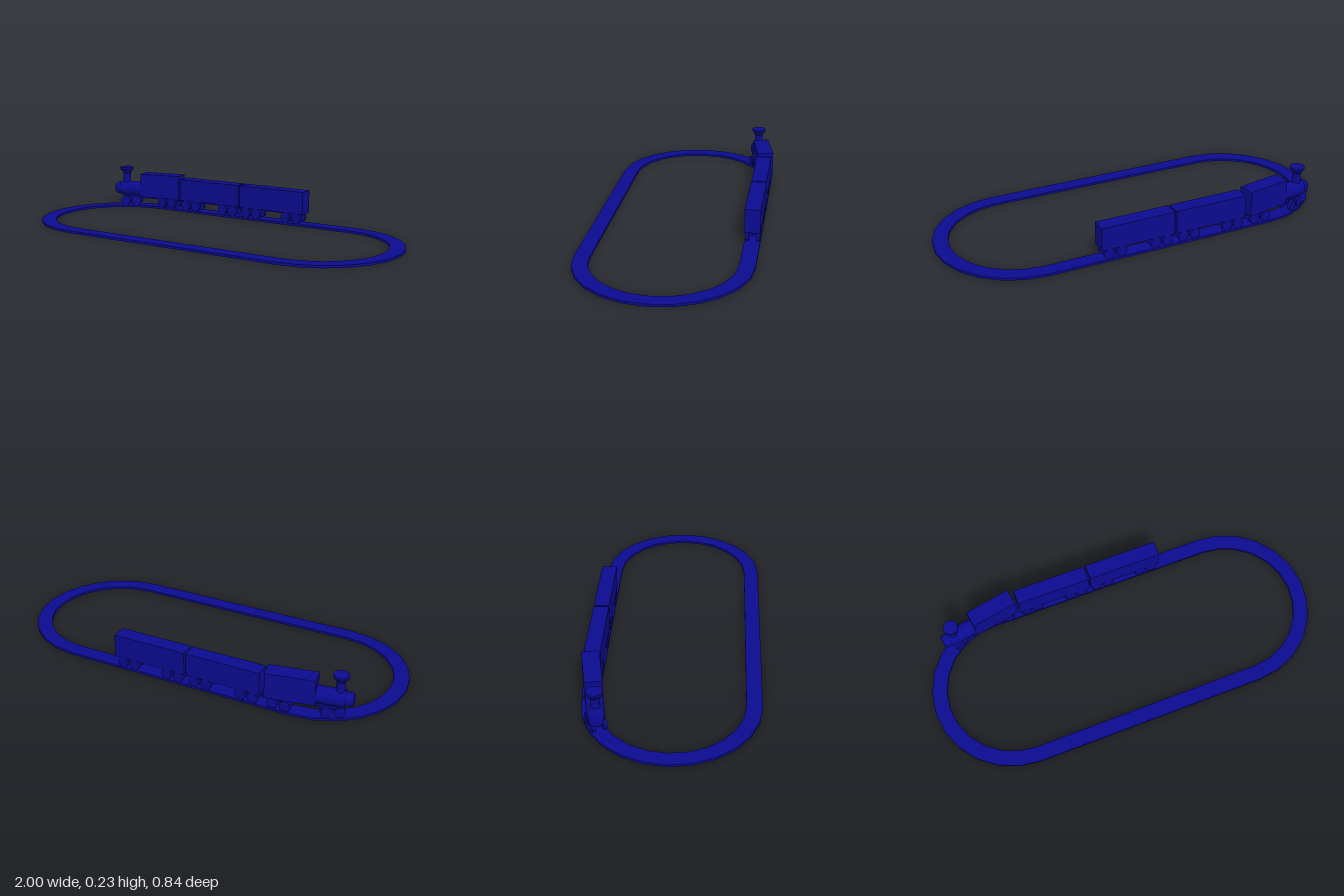
import * as THREE from 'three';

const material = new THREE.MeshStandardMaterial({ color: 0x0b0b90 });

function add(parent, name, geometry, x = 0, y = 0, z = 0) {
  const mesh = new THREE.Mesh(geometry, material);
  mesh.name = name;
  mesh.position.set(x, y, z);
  parent.add(mesh);
  return mesh;
}

const box = (w, h, d) => new THREE.BoxGeometry(w, h, d);

// Stadium outline: two half circles of 12 sides joined by straights
function stadium(radius, target) {
  const points = [];
  for (const side of [1, -1]) {
    for (let i = 0; i <= 12; i++) {
      const a = -Math.PI / 2 + (i / 12) * Math.PI;
      points.push(new THREE.Vector2(side * (0.585 + radius * Math.cos(a)), side * radius * Math.sin(a)));
    }
  }
  return target.setFromPoints(points);
}

// Two axles with four wheels and a centre beam
function addBogie(parent, x, z, angle) {
  const bogie = new THREE.Group();
  bogie.name = 'bogie';
  bogie.position.set(x, 0, z);
  bogie.rotation.y = angle;
  parent.add(bogie);
  add(bogie, 'bogieBeam', box(0.07, 0.016, 0.025), 0, 0.05);
  for (const dx of [-0.031, 0.031]) {
    add(bogie, 'axle', new THREE.CylinderGeometry(0.006, 0.006, 0.06, 8).rotateX(Math.PI / 2), dx, 0.038);
    for (const dz of [-0.027, 0.027]) {
      add(bogie, 'wheel', new THREE.CylinderGeometry(0.027, 0.027, 0.016, 16).rotateX(Math.PI / 2), dx, 0.038, dz);
    }
  }
}

function addWagon(parent, x, z) {
  const wagon = new THREE.Group();
  wagon.name = 'wagon';
  wagon.position.set(x, 0, z);
  parent.add(wagon);
  add(wagon, 'wagonBody', box(0.376, 0.117, 0.076), 0, 0.1225);
  add(wagon, 'wagonFrame', box(0.36, 0.01, 0.03), 0, 0.06);
  add(wagon, 'coupling', box(0.06, 0.007, 0.01), -0.19, 0.05);
  addBogie(wagon, -0.122, 0, 0);
  addBogie(wagon, 0.117, 0, 0);
}

function addLocomotive(parent) {
  const loco = new THREE.Group();
  loco.name = 'locomotive';
  loco.position.set(-0.567, 0, -0.36);
  loco.rotation.y = 0.18;
  parent.add(loco);
  add(loco, 'cab', box(0.235, 0.13, 0.083), 0, 0.13);
  add(loco, 'locomotiveFrame', box(0.34, 0.012, 0.04), -0.06, 0.06);

  // Boiler with a rounded nose, lying along the engine
  const profile = [[0, 0], [0.026, 0], [0.033, 0.008], [0.033, 0.036], [0.041, 0.036], [0.041, 0.18]];
  const boiler = new THREE.LatheGeometry(profile.map(([r, h]) => new THREE.Vector2(r, h)), 24);
  add(loco, 'boiler', boiler.rotateZ(-Math.PI / 2), -0.287, 0.104);

  // Chimney: straight stem and flared cap
  add(loco, 'chimneyStem', new THREE.CylinderGeometry(0.021, 0.021, 0.07, 20), -0.222, 0.162);
  add(loco, 'chimneyFlare', new THREE.CylinderGeometry(0.037, 0.021, 0.022, 20), -0.222, 0.204);
  add(loco, 'chimneyRim', new THREE.CylinderGeometry(0.037, 0.037, 0.011, 20), -0.222, 0.2205);

  // The leading bogie turns further into the curve
  addBogie(loco, -0.191, 0, 0.26);
  addBogie(loco, 0.043, -0.005, -0.18);
}

export function createModel() {
  const model = new THREE.Group();
  model.name = 'trainSet';

  // Flat oval track
  const shape = stadium(0.415, new THREE.Shape());
  shape.holes.push(stadium(0.34, new THREE.Path()));
  const track = new THREE.ExtrudeGeometry(shape, { depth: 0.012, bevelEnabled: false });
  add(model, 'track', track.rotateX(-Math.PI / 2), 0, 0, 0.003);

  addLocomotive(model);
  addWagon(model, -0.244, -0.375);
  addWagon(model, 0.142, -0.375);
  return model;
}
